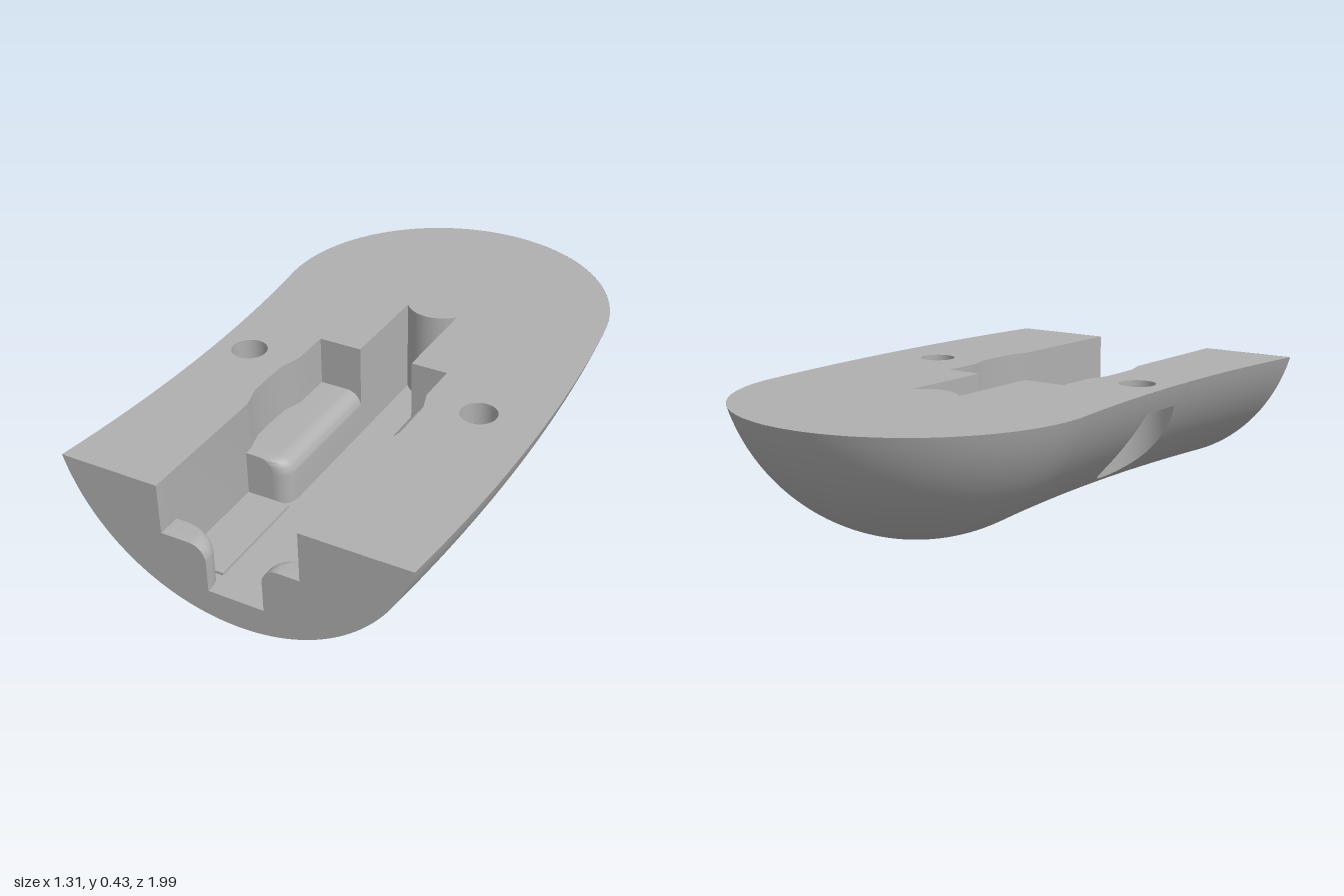
import * as THREE from 'three';
import { toCreasedNormals } from 'three/addons/utils/BufferGeometryUtils.js';

const TOP = 0.43, HALF = 0.577, RAD = 0.602;      // deck height, half width, section radius
const BEND = 5.74, CX = 0.073 - BEND, CZ = 0.93;  // plan arc of the centre line
const A_END = 0.237, TILT = 0.12;                 // arc angle at the dome, skew of the front cut
const SLOT = 0.095, SLOT_Y = 0.1, SHELF_Y = 0.26, FILLET = 0.055;
const BORE = 0.125, HOLE = 0.06, BORE_Y = 0.355;

const { sin, cos, PI } = Math;
const range = (n, f) => Array.from({ length: n + 1 }, (_, i) => f(i / n));
const under = d => RAD - Math.sqrt(RAD * RAD - d * d);
const plan = (d, a) => [CX + (BEND + d) * cos(a), CZ - (BEND + d) * sin(a)];
const skin = (d, a) => { const [x, z] = plan(d, a); return [x, under(d), z]; };
const frontAngle = d => TILT * d / (BEND + d);
// pocket frame: u across, v back from the front cut
const local = (u, v) => [0.073 + cos(TILT) * u - sin(TILT) * v, CZ - sin(TILT) * u - cos(TILT) * v];
const place = (u, y, v) => { const [x, z] = local(u, v); return [x, y, z]; };

// Surface through an (n+1) x (m+1) net of points
function grid(n, m, f) {
  const pos = [], idx = [];
  for (let i = 0; i <= n; i++) for (let j = 0; j <= m; j++) pos.push(...f(i, j));
  for (let i = 0; i < n; i++) for (let j = 0; j < m; j++) {
    const a = i * (m + 1) + j, b = a + m + 1;
    idx.push(a, b, a + 1, b, b + 1, a + 1);
  }
  const g = new THREE.BufferGeometry();
  g.setAttribute('position', new THREE.Float32BufferAttribute(pos, 3));
  g.setIndex(idx);
  return toCreasedNormals(g, 0.6);
}
const toShape = pts => new THREE.Shape(pts.map(p => new THREE.Vector2(p[0], p[1])));

// Flat face from plan points at height y
function flat(pts, y, holes = []) {
  const s = toShape(pts.map(([x, z]) => [x, -z]));
  for (const [x, z] of holes) s.holes.push(new THREE.Path().absarc(x, -z, HOLE, 0, 2 * PI, true));
  return new THREE.ShapeGeometry(s, 24).rotateX(-PI / 2).translate(0, y, 0);
}
// Flat upright face from (u, y) points at depth v
function upright(pts, v) {
  const [x, z] = local(0, v);
  return new THREE.ShapeGeometry(toShape(pts)).rotateY(TILT).translate(x, 0, z);
}

export function createModel() {
  const model = new THREE.Group();
  const grey = new THREE.MeshStandardMaterial({ color: 0xb0b0b0, side: THREE.DoubleSide });
  grey.name = 'plain grey';
  const add = (name, geo) => {
    const mesh = new THREE.Mesh(geo, grey);
    mesh.name = name;
    model.add(mesh);
  };

  // Rounded underside, leaving a window round each bore
  const band = [0.105, 0.165];
  const strip = (d0, d1, n, a0, a1, m) => {
    const p0 = Math.asin(d0 / RAD), p1 = Math.asin(d1 / RAD);
    add('underside', grid(n, m, (i, j) => {
      const d = RAD * sin(p0 + (p1 - p0) * i / n);
      const s = a0 === null ? frontAngle(d) : a0;
      return skin(d, s + (a1 - s) * j / m);
    }));
  };
  strip(-HALF, HALF, 64, null, band[0], 8);
  strip(-0.3, 0.21, 24, ...band, 6);
  strip(0.53, HALF, 8, ...band, 6);
  strip(-HALF, HALF, 64, band[1], A_END, 6);

  // Domed back end
  const [ex, ez] = plan(0, A_END);
  const domePlan = (d, t) => [ex + d * cos(t + A_END), ez - d * sin(t + A_END)];
  add('domedEnd', grid(64, 32, (i, j) => {
    const d = RAD * sin(Math.asin(HALF / RAD) * j / 32);
    const [x, z] = domePlan(d, PI * i / 64);
    return [x, under(d), z];
  }));

  // Screw holes: narrow above, wide bore opening through the underside
  const bores = [
    { d: -0.46, a: 0.135, lo: -HALF, hi: -0.3 },
    { d: 0.371, a: 0.133, lo: 0.21, hi: 0.53 },
  ];
  const dMax = Math.sqrt(RAD * RAD - (RAD - BORE_Y) ** 2);
  for (const h of bores) {
    const N = 64;
    const at = (i, r) => {
      const t = 2 * PI * i / N;
      const d = THREE.MathUtils.clamp(h.d + r * cos(t), -dMax, dMax);
      return [d, h.a + r * sin(t) / (BEND + h.d)];
    };
    const edge = i => {
      const t = 2 * PI * i / N, m = Math.max(Math.abs(cos(t)), Math.abs(sin(t)));
      const p = cos(t) / m, q = sin(t) / m;
      return [h.d + p * (p > 0 ? h.hi - h.d : h.d - h.lo),
        h.a + q * (q > 0 ? band[1] - h.a : h.a - band[0])];
    };
    add('undersideAroundBore', grid(N, 5, (i, j) => {
      const p = at(i, BORE), q = edge(i), t = j / 5;
      return skin(p[0] + (q[0] - p[0]) * t, p[1] + (q[1] - p[1]) * t);
    }));
    add('boreWall', grid(N, 1, (i, j) => {
      const p = skin(...at(i, BORE));
      return j ? p : [p[0], BORE_Y, p[2]];
    }));
    add('boreCeiling', grid(N, 1, (i, j) => {
      const [x, z] = plan(...at(i, j ? BORE : HOLE));
      return [x, BORE_Y, z];
    }));
    const [x, z] = plan(h.d, h.a);
    add('screwHole', new THREE.CylinderGeometry(HOLE, HOLE, TOP - BORE_Y, 48, 1, true)
      .translate(x, (TOP + BORE_Y) / 2, z));
  }

  // Pocket outline: wide recess with bulged sides, then a slot with a round end
  const inR = 0.222, inL = 0.246, back = 0.933;
  const side = (s, w) => [[0, 0], [0, 0.48], [0.008, 0.51], [0.022, 0.56], [0.024, 0.64],
    [0.022, 0.72], [0.006, 0.77], [0, 0.79], [0, back]].map(([b, v]) => [s * (w + b), v]);
  const neck = Math.asin(SLOT / 0.12);
  const keyhole = range(32, t => {
    const k = PI - neck - t * 2 * (PI - neck);
    return [0.12 * sin(k), 1.35 - 0.12 * cos(PI - k) * -1];
  });
  const outline = [...side(1, inR), [SLOT, back], ...keyhole, [-SLOT, back], ...side(-1, inL).reverse()];
  add('pocketWall', grid(outline.length - 1, 1, (i, j) => place(outline[i][0], j ? SLOT_Y : TOP, outline[i][1])));
  add('pocketFloor', flat(outline.map(p => local(...p)), SLOT_Y));

  // Flat deck
  const leftEdge = range(32, t => plan(-HALF, A_END + t * (frontAngle(-HALF) - A_END)));
  const rightEdge = range(32, t => plan(HALF, frontAngle(HALF) + t * (A_END - frontAngle(HALF))));
  const dome = range(64, t => domePlan(HALF, PI * t)).slice(1, -1);
  add('deck', flat([...rightEdge, ...dome, ...leftEdge, ...outline.map(p => local(...p)).reverse()],
    TOP, bores.map(h => plan(h.d, h.a))));

  // Shelf section with a rounded inner edge; shift moves that edge outward
  const section = (s, outer, shift) => [[outer, SHELF_Y],
    ...range(10, t => [SLOT + FILLET * (1 - sin(t * PI / 2)) + shift, SHELF_Y - FILLET * (1 - cos(t * PI / 2))]),
    [SLOT + shift, SLOT_Y]].map(([u, y]) => [s * u, y]);

  // Front face, cut through by the pocket
  const lower = range(64, t => {
    const d = HALF * (2 * t - 1);
    return [d / cos(TILT), under(d)];
  });
  add('frontFace', upright([...lower, [inR, TOP], ...section(1, inR, 0),
    ...section(-1, inL, 0).reverse(), [-inL, TOP]], 0));

  // Shelves either side of the slot, with a deep gap between front and rear ones
  for (const [s, w] of [[1, inR], [-1, inL]]) {
    for (const [name, gapV, endV, outer] of [['frontShelf', 0.078, 0, w], ['rearShelf', 0.457, back, w + 0.024]]) {
      const dir = Math.sign(endV - gapV);
      const steps = range(8, t => ({
        v: gapV + dir * FILLET * (1 - cos(t * PI / 2)),
        shift: FILLET * (1 - sin(t * PI / 2)),
      }));
      steps.push({ v: endV, shift: 0 });
      const rows = steps.map(k => section(s, outer, k.shift));
      add(name, grid(rows.length - 1, rows[0].length - 1, (i, j) => place(rows[i][j][0], rows[i][j][1], steps[i].v)));
      add(name + 'End', upright([...rows[0], [s * outer, SLOT_Y]], gapV));
    }
    const [x, z] = local(s * (SLOT + w) / 2, 0.267);
    add('gapFloor', new THREE.BoxGeometry(w - SLOT, 0.009, 0.378).rotateY(TILT).translate(x, SLOT_Y + 0.0045, z));
  }
  return model;
}
